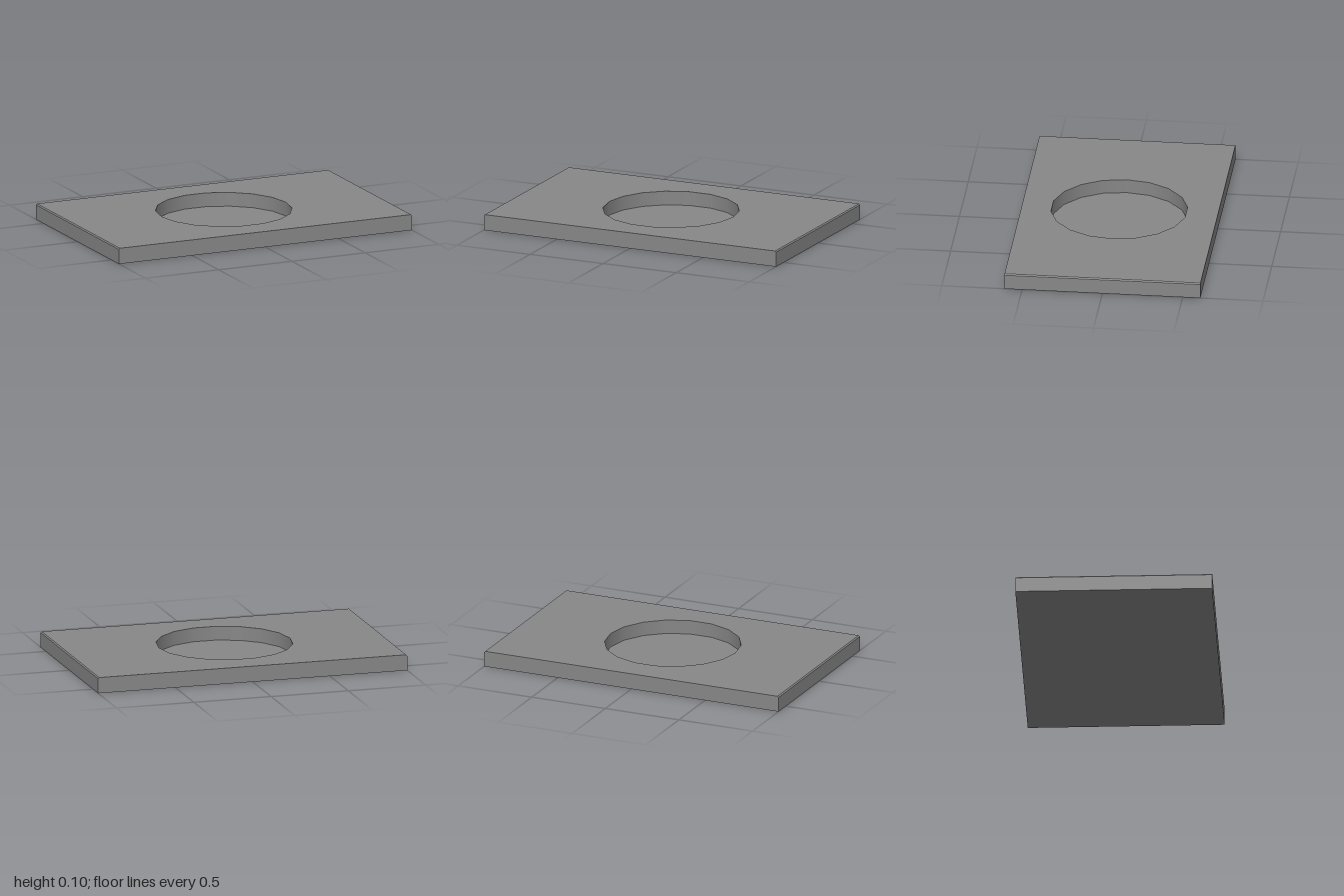
import * as THREE from 'three';

const W = 1, D = 0.61, H = 0.1, CHAMFER = 0.007;
const R = 0.424, SIDES = 18, FLOOR = 0.012, CX = -0.004, CZ = 0.005;

export function createModel() {
  const group = new THREE.Group();
  const material = new THREE.MeshStandardMaterial({ color: 0x878787 });
  const add = (name, geometry) => {
    const mesh = new THREE.Mesh(geometry, material);
    mesh.name = name;
    group.add(mesh);
    return mesh;
  };

  // Slab outline with the round opening
  const outline = new THREE.Shape([
    new THREE.Vector2(-W, -D), new THREE.Vector2(W, -D),
    new THREE.Vector2(W, D), new THREE.Vector2(-W, D),
  ]);
  const ring = [];
  for (let i = 0; i < SIDES; i++) {
    const a = -i / SIDES * Math.PI * 2;
    ring.push(new THREE.Vector2(CX + R * Math.cos(a), -CZ + R * Math.sin(a)));
  }
  outline.holes.push(new THREE.Path(ring));
  const slab = new THREE.ExtrudeGeometry(outline, { depth: H, steps: 14, bevelEnabled: false });
  slab.rotateX(-Math.PI / 2);

  // Fine chamfer on the upper left and right edges
  const p = slab.attributes.position;
  for (let i = 0; i < p.count; i++) {
    if (p.getY(i) > H - 0.001 && Math.abs(p.getX(i)) > 0.99) {
      p.setX(i, Math.sign(p.getX(i)) * (W - CHAMFER));
    }
  }
  slab.computeVertexNormals();

  // Smooth shading around the wall of the recess
  const n = slab.attributes.normal;
  for (let i = 0; i < p.count; i++) {
    const dx = p.getX(i) - CX, dz = p.getZ(i) - CZ;
    if (Math.abs(n.getY(i)) < 0.5 && Math.hypot(dx, dz) < R + 0.01) {
      n.setXYZ(i, -dx / R, 0, -dz / R);
    }
  }
  add('slab', slab);

  // Floor of the recess and the closed underside
  const disc = new THREE.CircleGeometry(R, SIDES);
  const floor = add('recessFloor', disc.clone().rotateX(-Math.PI / 2));
  floor.position.set(CX, FLOOR, CZ);
  const under = add('underside', disc.clone().rotateX(Math.PI / 2));
  under.position.set(CX, 0, CZ);

  return group;
}
